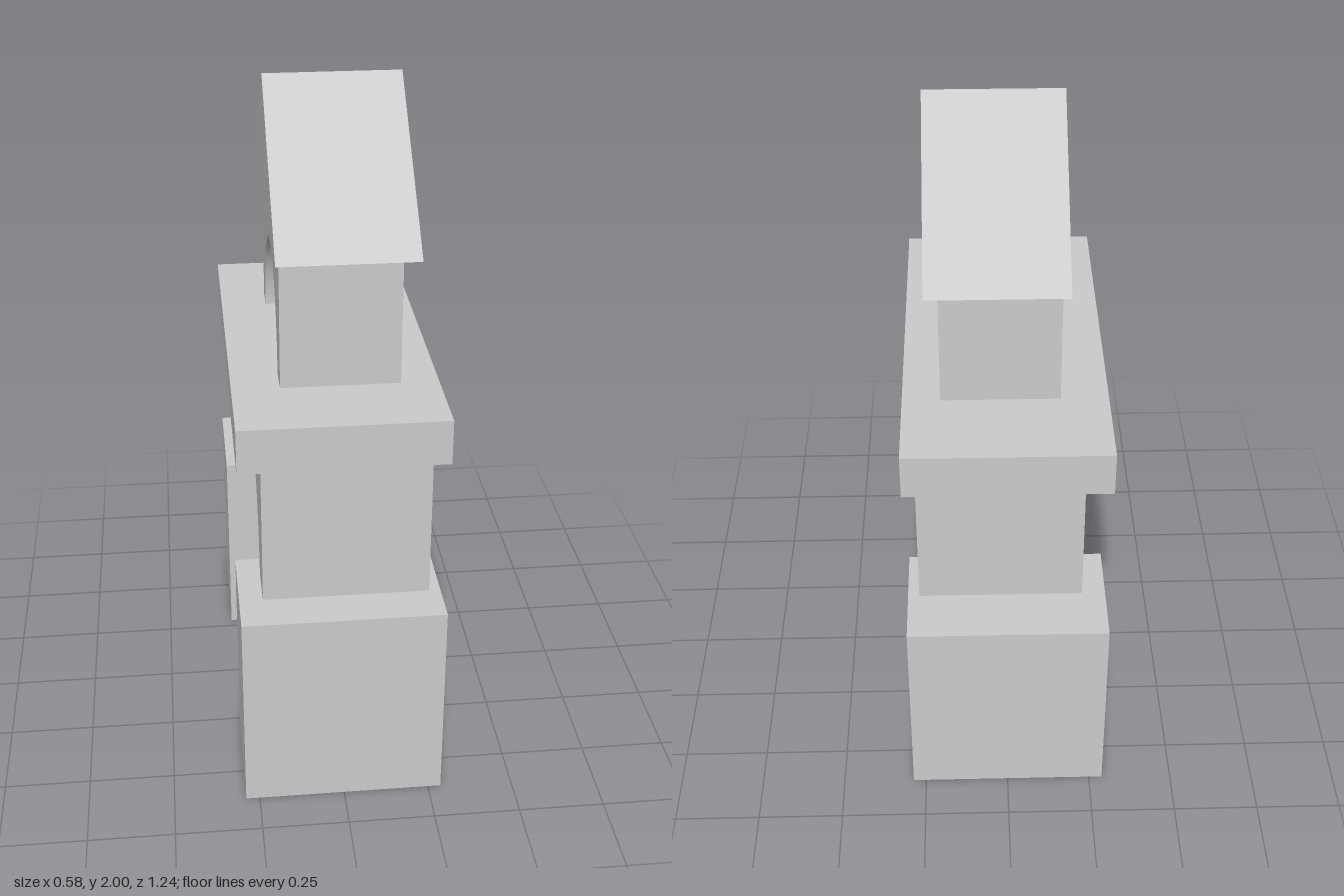
import * as THREE from 'three';
import { toCreasedNormals } from 'three/addons/utils/BufferGeometryUtils.js';

const material = new THREE.MeshStandardMaterial({ color: 0xcccccc });

function addMesh(group, name, geometry) {
  const mesh = new THREE.Mesh(geometry, material);
  mesh.name = name;
  group.add(mesh);
  return mesh;
}

// Box given by its limits on each axis
function addBlock(group, name, [x0, x1], [y0, y1], [z0, z1]) {
  addMesh(group, name, new THREE.BoxGeometry(x1 - x0, y1 - y0, z1 - z0))
    .position.set((x0 + x1) / 2, (y0 + y1) / 2, (z0 + z1) / 2);
}

// Profile drawn in (z, y) and extruded along x
function addProfile(group, name, shape, [x0, x1]) {
  const geometry = new THREE.ExtrudeGeometry(shape, { depth: x1 - x0, bevelEnabled: false, curveSegments: 40 });
  geometry.rotateY(-Math.PI / 2).translate(x1, 0, 0);
  addMesh(group, name, toCreasedNormals(geometry, 0.5));
}

// Rectangular block with a half-elliptical opening cut from its base
function archShape([y0, y1], [z0, z1], [a0, a1], archTop) {
  const shape = new THREE.Shape();
  shape.moveTo(a1, y0);
  shape.lineTo(z1, y0);
  shape.lineTo(z1, y1);
  shape.lineTo(z0, y1);
  shape.lineTo(z0, y0);
  shape.lineTo(a0, y0);
  shape.absellipse((a0 + a1) / 2, y0, (a1 - a0) / 2, archTop - y0, Math.PI, 0, true);
  return shape;
}

export function createModel() {
  const group = new THREE.Group();
  group.name = 'blockTower';

  // Two foot blocks
  addBlock(group, 'frontFootBlock', [-0.29, 0.288], [0, 0.615], [0.285, 0.622]);
  addBlock(group, 'backFootBlock', [-0.29, 0.288], [0, 0.615], [-0.62, -0.282]);

  // Large arch, slab and small arch
  addProfile(group, 'largeArch',
    archShape([0.615, 1.082], [-0.453, 0.498], [-0.337, 0.362], 0.97), [-0.222, 0.255]);
  addBlock(group, 'slab', [-0.29, 0.288], [1.082, 1.213], [-0.562, 0.592]);
  addProfile(group, 'smallArch',
    archShape([1.213, 1.612], [-0.302, 0.355], [-0.225, 0.262], 1.517), [-0.155, 0.181]);

  // Triangular roof block
  const roof = new THREE.Shape();
  roof.moveTo(-0.413, 1.612);
  roof.lineTo(0.456, 1.612);
  roof.lineTo(0.017, 2);
  roof.closePath();
  addProfile(group, 'roof', roof, [-0.17, 0.216]);

  return group;
}
